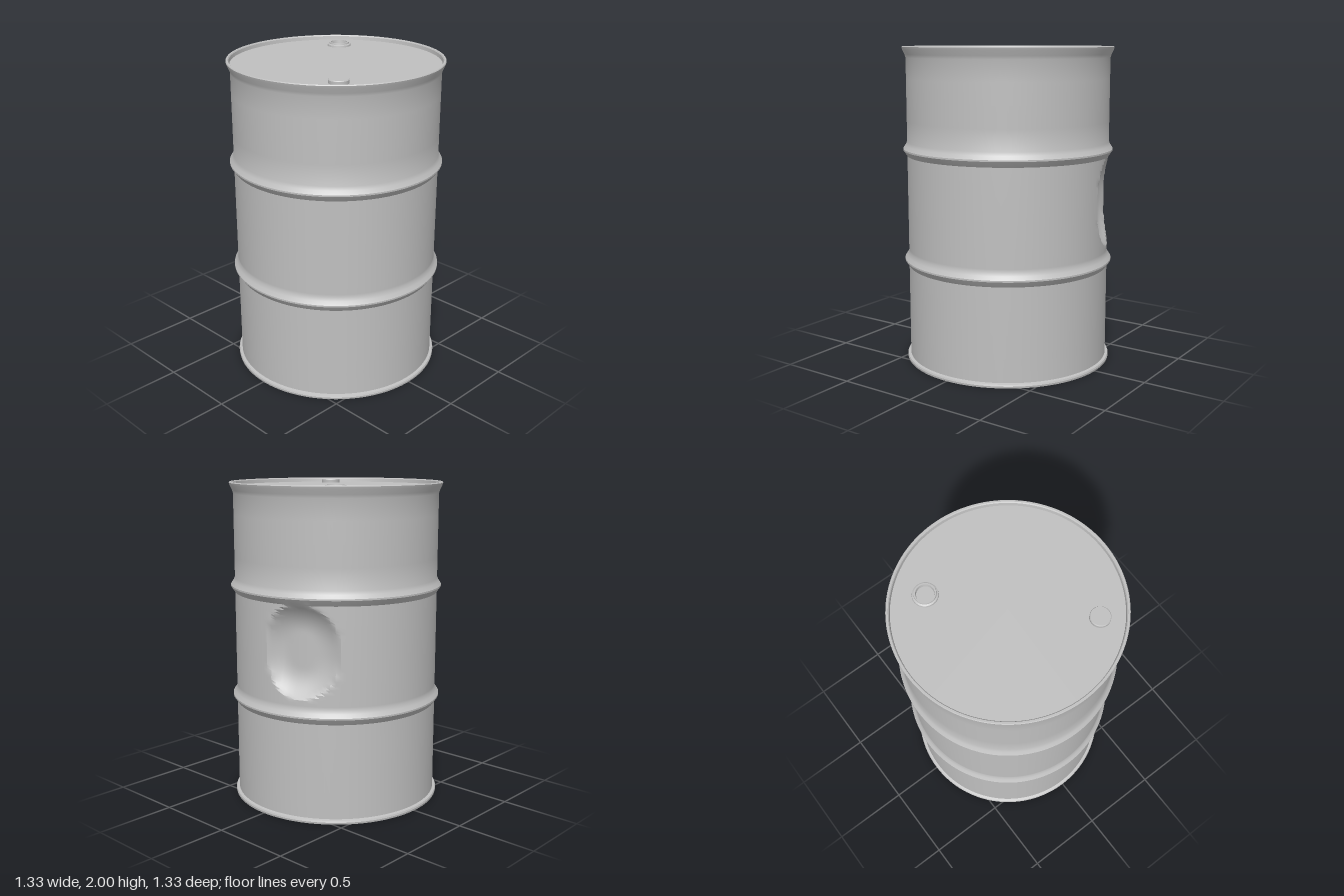
import * as THREE from 'three';
import { mergeVertices, toCreasedNormals } from 'three/addons/utils/BufferGeometryUtils.js';

const SIDES = 128;

// Lathe a list of [radius, y] pairs with welded seam and crisp creases
function turned(profile, sides, deform) {
  const pts = profile.map(([r, y]) => new THREE.Vector2(r, y));
  let geo = new THREE.LatheGeometry(pts, sides);
  geo.deleteAttribute('uv');
  geo.deleteAttribute('normal');
  geo = mergeVertices(geo, 1e-4);
  if (deform) deform(geo.attributes.position);
  return toCreasedNormals(geo, 0.5);
}

// Straight wall from y0 to y1 in small steps, ends excluded
function wall(r, y0, y1, steps) {
  const out = [];
  for (let i = 1; i < steps; i++) out.push([r, y0 + (y1 - y0) * i / steps]);
  return out;
}

// Rolling hoop pressed out of the wall
const hoop = (y) => [[0.64, y - 0.04], [0.646, y - 0.032], [0.665, y - 0.004], [0.665, y + 0.006], [0.65, y + 0.028], [0.64, y + 0.05]];

// Knock a rounded hollow into the wall on the +x side, behind the middle
function dent(pos) {
  const dir = new THREE.Vector2(0.92, -0.39);
  for (let i = 0; i < pos.count; i++) {
    const x = pos.getX(i), y = pos.getY(i), z = pos.getZ(i);
    if (x < 0.3 || y < 0.7 || y > 1.33) continue;
    const u = Math.abs((z + 0.245) / 0.205), v = Math.abs((y - 1.04) / 0.28);
    const r = Math.pow(u ** 2.4 + v ** 2.4, 1 / 2.4);
    if (r >= 1) continue;
    const t = Math.min(1, (1 - r) / 0.6);
    const depth = 0.075 * t * (2 - t);
    pos.setX(i, x - dir.x * depth);
    pos.setZ(i, z - dir.y * depth);
  }
}

export function createModel() {
  const drum = new THREE.Group();
  drum.name = 'drum';
  const steel = new THREE.MeshStandardMaterial({ color: 0xc0c0c0 });
  steel.name = 'grey steel';

  function add(name, geo, x = 0, y = 0, z = 0) {
    const mesh = new THREE.Mesh(geo, steel);
    mesh.name = name;
    mesh.position.set(x, y, z);
    drum.add(mesh);
  }

  // Shell: bottom, foot rim, wall with two hoops, flared top rim and sunken lid
  add('shell', turned([
    [0, 0.004], [0.645, 0.004], [0.648, 0], [0.659, 0], [0.661, 0.012], [0.657, 0.022], [0.64, 0.026],
    ...wall(0.64, 0.026, 0.615, 4),
    ...hoop(0.655),
    ...wall(0.64, 0.705, 1.32, 36),
    ...hoop(1.36),
    ...wall(0.64, 1.41, 1.93, 4),
    [0.64, 1.93], [0.646, 1.95], [0.66, 1.98], [0.664, 1.995], [0.66, 2], [0.65, 2], [0.645, 1.994], [0.642, 1.972], [0, 1.972],
  ], SIDES, dent));

  // Small closed plug
  add('smallPlug', turned([[0.06, 0], [0.06, 0.02], [0.056, 0.025], [0, 0.025]], 24), -0.345, 1.971, 0.365);

  // Large filler neck with a sunken plug
  add('fillerNeck', turned([
    [0.075, 0], [0.073, 0.012], [0.064, 0.016], [0.062, 0.025], [0.053, 0.025], [0.05, 0.006], [0, 0.006],
  ], 24), 0.34, 1.971, -0.31);

  return drum;
}
